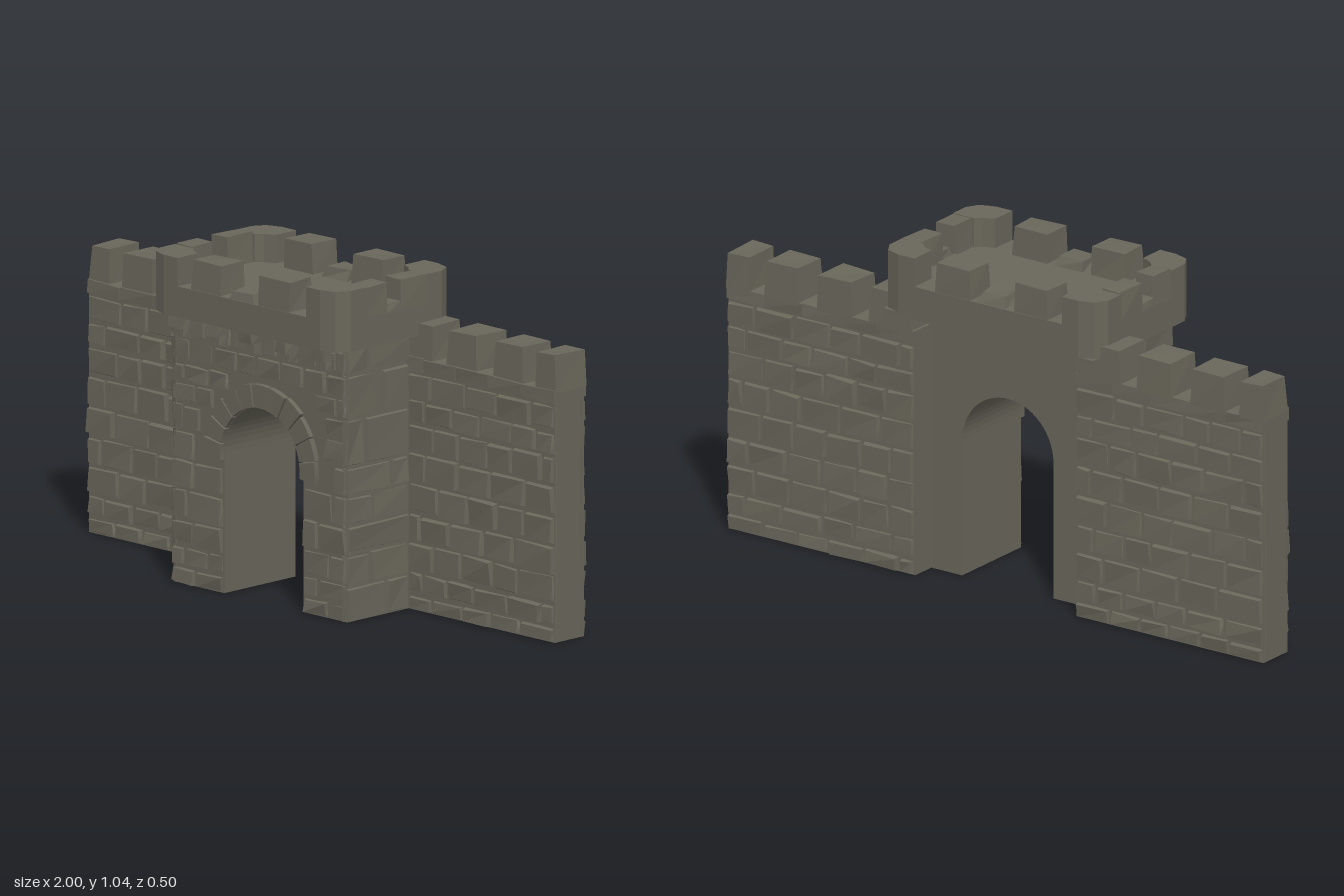
import * as THREE from 'three';
import { mergeGeometries } from 'three/addons/utils/BufferGeometryUtils.js';

export function createModel() {
  const model = new THREE.Group();
  const stoneMat = new THREE.MeshStandardMaterial({ color: 0x69665a, flatShading: true });
  stoneMat.name = 'weathered stone';

  let seed = 7;
  const rand = () => {
    seed = (seed * 16807) % 2147483647;
    return seed / 2147483647;
  };
  const jit = (a) => (rand() - 0.5) * 2 * a;

  function add(name, geo, parent = model) {
    const mesh = new THREE.Mesh(geo, stoneMat);
    mesh.name = name;
    parent.add(mesh);
    return mesh;
  }

  // Box between limits; corners shift by rule(signX, signY, signZ) -> [dx, dy, dz]
  function block(x0, x1, y0, y1, z0, z1, rule) {
    const geo = new THREE.BoxGeometry(x1 - x0, y1 - y0, z1 - z0);
    const p = geo.attributes.position;
    const shifts = {};
    for (let i = 0; i < p.count; i++) {
      const s = [Math.sign(p.getX(i)), Math.sign(p.getY(i)), Math.sign(p.getZ(i))];
      const d = rule ? (shifts[s.join()] ??= rule(...s)) : [0, 0, 0];
      p.setXYZ(i, p.getX(i) + d[0], p.getY(i) + d[1], p.getZ(i) + d[2]);
    }
    return geo.translate((x0 + x1) / 2, (y0 + y1) / 2, (z0 + z1) / 2);
  }

  // Facing stone on z = 0: outer face is inset and uneven
  const facing = (x0, x1, y0, y1, h) => block(x0, x1, y0, y1, -0.012, h, (sx, sy, sz) =>
    sz < 0 ? [0, 0, 0]
      : [-sx * (0.004 + rand() * 0.006), -sy * (0.003 + rand() * 0.006), jit(0.005)]);

  // Worn merlon: only its top corners move
  const merlon = (x0, x1, y0, y1, z0, z1, wear = 0.008) => block(x0, x1, y0, y1, z0, z1,
    (sx, sy, sz) => sy < 0 ? [0, 0, 0] : [-sx * rand() * wear, -rand() * wear * 0.6, -sz * rand() * wear]);

  // Running-bond courses between x0 and x1; skip(a, b, lo, hi) leaves stones out
  function courses(x0, x1, rows, length, skip = () => false) {
    const list = [];
    for (let r = 0; r < rows.length - 1; r++) {
      let x = x0;
      let len = length * (r % 2 ? 0.55 : 1);
      while (x < x1 - 0.001) {
        let end = x + len * (0.8 + rand() * 0.4);
        if (x1 - end < length * 0.4) end = x1;
        const lo = rows[r] + (r ? rand() * 0.008 : 0);
        const hi = rows[r + 1] - rand() * 0.006;
        const h = 0.004 + rand() * 0.009;
        if (!skip(x, end, lo, hi)) list.push(facing(x + 0.002, end - 0.002, lo, hi, h));
        x = end;
        len = length;
      }
    }
    return mergeGeometries(list);
  }

  // Curtain walls with stone courses on both faces, coping and merlons
  const wallRows = [0, 0.05, 0.12, 0.21, 0.3, 0.395, 0.49, 0.58, 0.655, 0.74];
  for (const side of [1, -1]) {
    const wall = new THREE.Group();
    wall.name = side > 0 ? 'leftWall' : 'rightWall';
    model.add(wall);
    const span = (a, b) => side > 0 ? [a, b] : [-b, -a];
    add('wallCore', block(...span(0.3, 0.997), 0, 0.78, -0.212, -0.088), wall);
    add('wallFrontStones', courses(...span(0.375, 1), wallRows, 0.125), wall).position.z = -0.086;
    const back = add('wallBackStones', courses(...span(0.3, 1).map((v) => -v).reverse(), wallRows, 0.125), wall);
    back.rotation.y = Math.PI;
    back.position.z = -0.214;
    const coping = [];
    for (let i = 0; i < 5; i++) {
      const a = 0.3 + i * 0.14;
      coping.push(block(...span(a, a + 0.138), 0.742, 0.783, -0.222, -0.078,
        (sx, sy, sz) => [0, jit(0.003), -sz * rand() * 0.006]));
    }
    add('wallCoping', mergeGeometries(coping), wall);
    const tops = [[0.31, 0.47], [0.53, 0.66], [0.73, 0.858], [0.912, 1]];
    add('wallMerlons', mergeGeometries(tops.map(([a, b]) =>
      merlon(...span(a, b), 0.775, 0.892, -0.221, -0.09))), wall);
  }

  // Gatehouse body with the arched passage
  const cx = 0.015, r = 0.17, spring = 0.435;
  const bodyShape = new THREE.Shape();
  bodyShape.moveTo(-0.372, 0);
  bodyShape.lineTo(cx - r, 0);
  bodyShape.lineTo(cx - r, spring);
  bodyShape.absarc(cx, spring, r, Math.PI, 0, true);
  bodyShape.lineTo(cx + r, 0);
  bodyShape.lineTo(0.372, 0);
  bodyShape.lineTo(0.372, 0.86);
  bodyShape.lineTo(-0.372, 0.86);
  bodyShape.closePath();
  const body = new THREE.ExtrudeGeometry(bodyShape, { depth: 0.302, bevelEnabled: false, curveSegments: 14 });
  add('gatehouseBody', body.translate(0, 0, -0.13));

  // Gatehouse front stones, kept clear of the arch ring
  const gateRows = [0, 0.055, 0.12, 0.2, 0.295, 0.39, 0.48, 0.56, 0.63, 0.69, 0.765, 0.84];
  const hitsArch = (a, b, lo, hi) => {
    const nx = Math.min(Math.max(cx, a), b), ny = Math.max(spring, lo);
    if (hi < spring - 0.04) return b > cx - r + 0.002 && a < cx + r - 0.002;
    return Math.hypot(nx - cx, Math.min(ny, hi) - spring) < 0.24;
  };
  const split = [[-0.375, cx - r], [cx + r, 0.375]];
  for (const [a, b] of split) {
    add('gatehousePierStones', courses(a, b, gateRows.slice(0, 6), 0.11, hitsArch)).position.z = 0.172;
  }
  add('gatehouseUpperStones', courses(-0.375, 0.375, gateRows.slice(5), 0.09, hitsArch)).position.z = 0.172;

  // Gatehouse side stones
  const sideRows = [0, 0.11, 0.21, 0.3, 0.39, 0.48, 0.63, 0.765, 0.85];
  for (const side of [1, -1]) {
    const range = side > 0 ? [-0.18, 0.085] : [-0.085, 0.18];
    const mesh = add('gatehouseSideStones', courses(...range, sideRows, 0.17));
    mesh.rotation.y = side * Math.PI / 2;
    mesh.position.x = side * 0.37;
  }

  // Arch stones, each a wedge of the ring
  const wedges = [];
  const count = 11;
  for (let i = 0; i < count; i++) {
    const from = -0.12 + (Math.PI + 0.24) * i / count + 0.012;
    const to = -0.12 + (Math.PI + 0.24) * (i + 1) / count - 0.012;
    const outer = 0.243 + jit(0.008);
    const wedge = new THREE.Shape();
    wedge.absarc(cx, spring, outer, from, to, false);
    wedge.absarc(cx, spring, r + 0.001, to, from, true);
    wedges.push(new THREE.ExtrudeGeometry(wedge, { depth: 0.03 + jit(0.004), bevelEnabled: false, curveSegments: 3 }));
  }
  add('archStones', mergeGeometries(wedges).translate(0, 0, 0.16));

  // Corbels under the front parapet, two steps each
  const corbels = [];
  for (const x of [-0.315, -0.16, -0.012, 0.138, 0.295]) {
    corbels.push(block(x - 0.024, x + 0.024, 0.805, 0.852, 0.165, 0.226,
      (sx, sy, sz) => [jit(0.003), sy < 0 ? jit(0.004) : 0, sz > 0 ? jit(0.005) : 0]));
    corbels.push(block(x - 0.02, x + 0.02, 0.765, 0.806, 0.165, 0.208,
      (sx, sy, sz) => [jit(0.003), sy < 0 && sz > 0 ? 0.012 : 0, 0]));
  }
  add('corbels', mergeGeometries(corbels));

  // Flat slabs drawn in plan (x, z) and raised from y0 to y1
  function planSlab(points, y0, y1) {
    const shape = new THREE.Shape(points.map(([x, z]) => new THREE.Vector2(x, -z)));
    return new THREE.ExtrudeGeometry(shape, { depth: y1 - y0, bevelEnabled: false })
      .rotateX(-Math.PI / 2).translate(0, y0, 0);
  }
  const X = 0.408, Z = 0.252;
  const deck = [[X, 0.195], [0.385, 0.235], [0.335, Z], [-0.335, Z], [-0.385, 0.235], [-X, 0.195],
    [-X, -0.195], [-0.385, -0.235], [-0.335, -Z], [0.335, -Z], [0.385, -0.235], [X, -0.195]];
  add('parapetDeck', planSlab(deck, 0.85, 0.945));
  add('parapetLedge', block(-0.39, 0.39, 0.836, 0.851, -0.25, -0.13));

  // Corner merlons wrap round each corner of the deck
  const corner = [[X, 0.165], [X, 0.195], [0.385, 0.235], [0.335, Z], [0.275, Z], [0.275, 0.165],
    [0.31, 0.15], [0.33, 0.13], [X, 0.13]];
  const merlons = [];
  for (const sx of [1, -1]) {
    for (const sz of [1, -1]) {
      merlons.push(planSlab(corner.map(([x, z]) => [x * sx, z * sz]), 0.94, 1.036 + jit(0.004)));
    }
    // Side merlons with a narrow gap between them
    const s = (a, b) => sx > 0 ? [a, b] : [-b, -a];
    add('sideMerlons', mergeGeometries([
      merlon(...s(0.335, X), 0.94, 1.04, 0.037, 0.135),
      merlon(...s(0.335, X), 0.94, 1.04, -0.135, -0.02),
      merlon(...s(0.345, X), 0.94, 0.972, -0.025, 0.04),
    ]));
  }
  add('cornerMerlons', mergeGeometries(merlons));

  // Front and back merlons, with a low broken one in the middle
  for (const [name, z0, z1] of [['frontMerlons', 0.145, 0.25], ['backMerlons', -0.25, -0.145]]) {
    add(name, mergeGeometries([
      merlon(-0.22, -0.095, 0.94, 1.04, z0, z1),
      merlon(0.068, 0.2, 0.94, 1.04, z0, z1),
      merlon(-0.062, 0.048, 0.94, 0.98, z0, z1, 0.025),
    ]));
  }

  return model;
}
